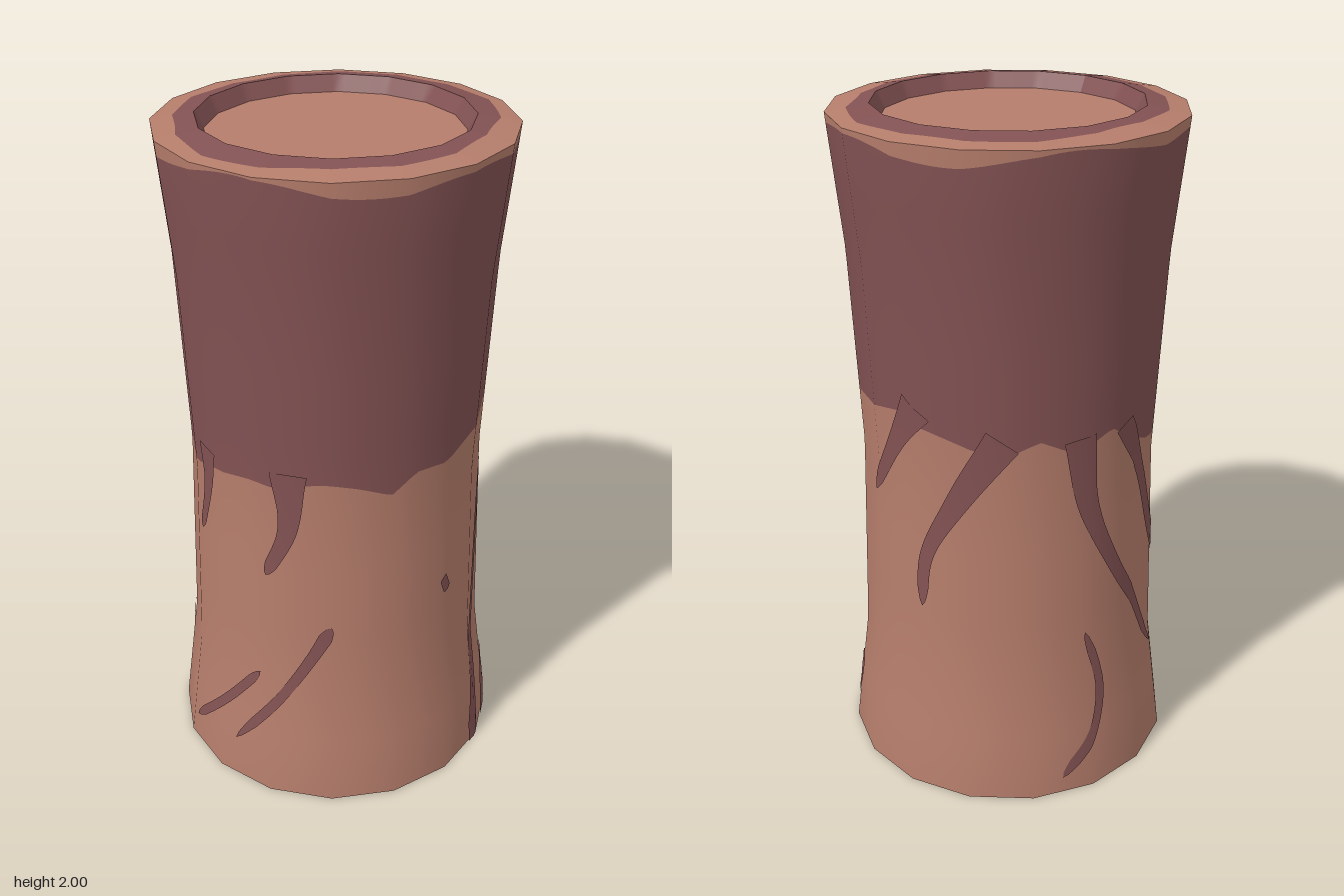
import * as THREE from 'three';

const SIDES = 16, COLS = 128, RAD = Math.PI / 180;

// linear lookup in a short list of [key, value] pairs
function lookup(table, k) {
  for (let i = 1; i < table.length; i++) {
    const [k0, v0] = table[i - 1], [k1, v1] = table[i];
    if (k <= k1) return v0 + (v1 - v0) * Math.max(0, (k - k0) / (k1 - k0));
  }
  return table[table.length - 1][1];
}

// waisted outer profile: height, radius
const PROFILE = [[0, 0.5], [0.38, 0.452], [1, 0.435], [1.6, 0.462], [1.98, 0.5]];
const radius = (y) => lookup(PROFILE, y);

// lower edge of the dark band: degrees from the front towards +x, height
const BAND_LOW = [[0, 1.06], [12, 1.07], [22, 1.07], [44, 1.1], [55, 1.08], [67, 1.05], [78, 1.1],
  [95, 1.1], [117, 1.15], [135, 1.17], [158, 1.19], [172, 1.21], [183, 1.18], [200, 1.15],
  [215, 1.12], [227, 1.17], [240, 1.12], [258, 1.16], [270, 1.1], [285, 1.05], [316, 1.03],
  [340, 1.02], [350, 1.04], [360, 1.06]];
const bandLow = (a) => lookup(BAND_LOW, a / RAD);
const bandHigh = (a) => 1.952 + 0.013 * Math.sin(5 * a) + 0.01 * Math.sin(3 * a + 1);
// wavy edge of the dark ring on the rims
const ringEdge = (a) => 0.44 + 0.012 * Math.cos(2 * a) + 0.008 * Math.sin(5 * a + 1);

// point on a sixteen-sided ring
function ringPoint(a, r, y) {
  const step = (2 * Math.PI) / SIDES;
  const local = (((a % step) + step) % step) - step / 2;
  const p = (r * Math.cos(step / 2)) / Math.cos(local);
  return [p * Math.sin(a), y, p * Math.cos(a)];
}

// grid surface from f(u, v) -> [angle, radius, height]; smooth gives rounded side shading
function sheet(cols, rows, f, smooth) {
  const pos = [], nor = [], index = [];
  for (let j = 0; j <= rows; j++) {
    for (let i = 0; i <= cols; i++) {
      const [a, r, y] = f(i / cols, j / rows);
      pos.push(...ringPoint(a, r, y));
      const slope = (radius(Math.max(0, y - 0.2)) - radius(Math.min(1.98, y + 0.2))) / 0.4;
      const n = new THREE.Vector3(Math.sin(a), slope, Math.cos(a)).normalize();
      nor.push(n.x, n.y, n.z);
      if (i < cols && j < rows) {
        const k = j * (cols + 1) + i, m = k + cols + 1;
        index.push(k, k + 1, m + 1, k, m + 1, m);
      }
    }
  }
  const g = new THREE.BufferGeometry();
  g.setAttribute('position', new THREE.Float32BufferAttribute(pos, 3));
  g.setIndex(index);
  if (smooth) g.setAttribute('normal', new THREE.Float32BufferAttribute(nor, 3));
  else g.computeVertexNormals();
  return g;
}

// wall between two heights that depend on the angle
const wall = (low, high, rows) => sheet(COLS, rows, (u, v) => {
  const a = u * 2 * Math.PI, y = low(a) + (high(a) - low(a)) * v;
  return [a, radius(y), y];
}, true);

// flat or conical ring between two radii that depend on the angle
const ring = (r0, r1, height) => sheet(COLS, 1, (u, v) => {
  const a = u * 2 * Math.PI, r = r0(a) + (r1(a) - r0(a)) * v;
  return [a, r, height(r, v)];
}, false);

// painted run following [degrees, height] points on the side
function streak(points, w0, w1, roundStart) {
  const curve = new THREE.CatmullRomCurve3(
    points.map(([d, y]) => new THREE.Vector3(d * RAD * 0.45, y, 0)));
  return sheet(4, 32, (u, v) => {
    const c = curve.getPoint(v), t = curve.getTangent(v);
    let w = w1 + (w0 - w1) * (1 - v) ** 2;
    w *= Math.sqrt(Math.min(1, (1 - v) * 8));
    if (roundStart) w *= Math.sqrt(Math.min(1, v * 8));
    const s = (u - 0.5) * w;
    const y = Math.max(0, c.y - t.x * s);
    return [(c.x + t.y * s) / 0.45, radius(y) + 0.004, y];
  }, true);
}

export function createModel() {
  const group = new THREE.Group();
  const clay = new THREE.MeshStandardMaterial({ color: 0xb57d6b });
  clay.name = 'clay';
  const maroon = new THREE.MeshStandardMaterial({ color: 0x835253 });
  maroon.name = 'maroon';
  const add = (name, geometry, material) => {
    const mesh = new THREE.Mesh(geometry, material);
    mesh.name = name;
    group.add(mesh);
  };
  const c = (value) => () => value;

  // side wall
  add('lowerBody', wall(c(0), bandLow, 22), clay);
  add('darkBand', wall(bandLow, bandHigh, 16), maroon);
  add('upperEdge', wall(bandHigh, c(1.98), 1), clay);

  // top rim, recess and lid
  const topHeight = (r) => 1.98 + (0.02 * (0.5 - r)) / 0.12;
  add('topRim', ring(c(0.5), ringEdge, topHeight), clay);
  add('topRimRing', ring(ringEdge, c(0.38), topHeight), maroon);
  add('topRecessWall', ring(c(0.38), c(0.355), (r, v) => 2 - 0.045 * v), maroon);
  add('topFloor', ring(c(0.355), c(0.0001), c(1.955)), clay);

  // underside
  add('bottomFloor', ring(c(0.0001), c(0.355), c(0.06)), clay);
  add('bottomRecessWall', ring(c(0.355), c(0.38), (r, v) => 0.06 * (1 - v)), maroon);
  add('bottomRimRing', ring(c(0.38), ringEdge, c(0)), maroon);
  add('bottomRim', ring(ringEdge, c(0.5), c(0)), clay);

  // drips hanging from the band: path, start width, end width
  const drips = [
    [[[-11, 1.1], [-13, 0.95], [-18, 0.8]], 0.09, 0.03],
    [[[29, 1.12], [28, 0.93], [19, 0.77]], 0.11, 0.04],
    [[[181, 1.24], [168, 1.09], [154, 0.91]], 0.11, 0.04],
    [[[214, 1.17], [196, 0.96], [184, 0.78], [182, 0.61]], 0.11, 0.035],
    [[[243, 1.16], [248, 0.93], [260, 0.73], [278, 0.49], [291, 0.32]], 0.1, 0.03],
    [[[264, 1.16], [279, 0.96], [290, 0.74], [305, 0.48], [320, 0.29]], 0.07, 0.035],
  ];
  drips.forEach(([path, w0, w1]) => add('drip', streak(path, w0, w1, false), maroon));

  // loose streaks on the lower body
  const streaks = [
    [[[45, 0.62], [38, 0.51], [26, 0.35], [6, 0.13]], 0.045, 0.03],
    [[[16, 0.41], [0, 0.25], [-19, 0.085]], 0.03, 0.03],
    [[[131, 0.96], [122, 0.65], [116, 0.4], [114, 0.17], [108, -0.04]], 0.05, 0.055],
    [[[136, 0.26], [133, 0.12], [125, -0.04]], 0.03, 0.06],
    [[[246, 0.53], [253, 0.33], [248, 0.17], [236, 0.05]], 0.03, 0.035],
    [[[92, 0.7], [95, 0.645]], 0.035, 0.035],
  ];
  streaks.forEach(([path, w0, w1]) => add('streak', streak(path, w0, w1, true), maroon));

  return group;
}
